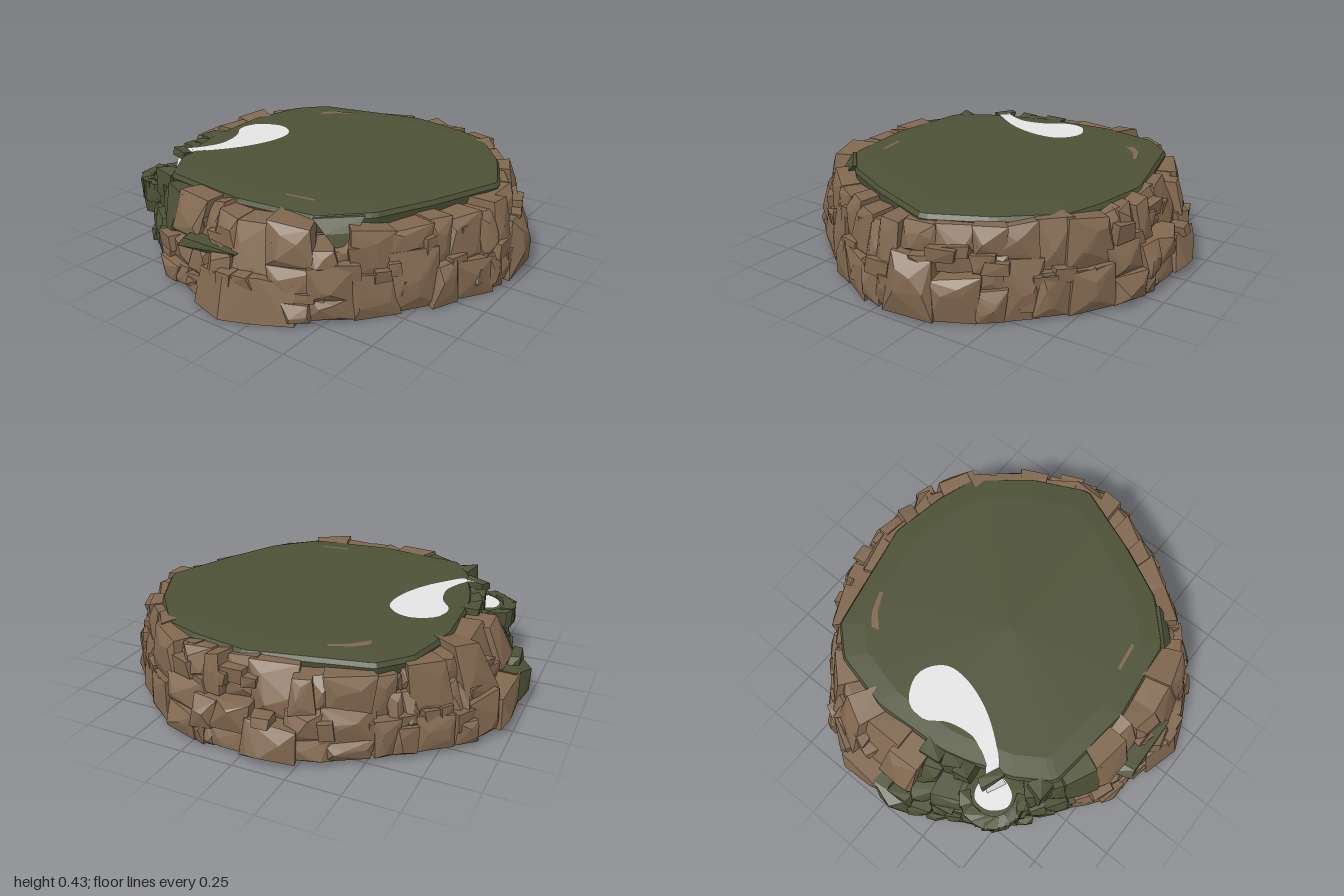
import * as THREE from 'three';
import { mergeGeometries } from 'three/addons/utils/BufferGeometryUtils.js';
import { ConvexGeometry } from 'three/addons/geometries/ConvexGeometry.js';

// outlines as [x, z] corners
const GRASS = [[0.05, -0.78], [0.33, -0.73], [0.51, -0.67], [0.71, -0.43], [0.84, -0.16], [0.7, 0.19], [0.57, 0.45],
  [0.38, 0.63], [-0.02, 0.68], [-0.46, 0.63], [-0.57, 0.46], [-0.59, 0.38], [-0.64, 0.25], [-0.67, 0.13], [-0.69, -0.24],
  [-0.62, -0.53], [-0.5, -0.66]];
const BASE = [[-0.13, -0.98], [0.09, -0.95], [0.35, -0.93], [0.62, -0.73], [0.81, -0.54], [0.95, -0.32], [1, -0.19],
  [0.99, 0.05], [0.84, 0.35], [0.63, 0.64], [0.42, 0.84], [0.12, 0.96], [-0.06, 0.91], [-0.32, 0.87], [-0.56, 0.68],
  [-0.8, 0.45], [-1, 0.05], [-0.97, -0.13], [-0.99, -0.29], [-0.86, -0.5], [-0.57, -0.73], [-0.35, -0.89]];
const POND = [[-0.48, -0.19], [-0.59, -0.13], [-0.61, -0.03], [-0.55, 0.07], [-0.53, 0.2], [-0.56, 0.28], [-0.59, 0.34],
  [-0.56, 0.38], [-0.5, 0.32], [-0.4, 0.18], [-0.34, 0.02], [-0.34, -0.1], [-0.4, -0.17]];
const TAU = Math.PI * 2;

let seed = 7;
function rand(a = 0, b = 1) {
  seed = (seed * 16807) % 2147483647;
  return a + (b - a) * seed / 2147483647;
}
const lerp = THREE.MathUtils.lerp;
const between = (v, a, b) => v > a && v < b;

// distance to a straight-sided outline in a given direction
function radial(outline) {
  const p = outline.map(([x, z]) => [(Math.atan2(z, x) + TAU) % TAU, Math.hypot(x, z)]).sort((m, n) => m[0] - n[0]);
  const last = p[p.length - 1];
  p.unshift([last[0] - TAU, last[1]]);
  p.push([p[1][0] + TAU, p[1][1]]);
  return (angle) => {
    const a = ((angle % TAU) + TAU) % TAU;
    const i = p.findIndex((q) => q[0] > a);
    const [a0, r0] = p[i - 1], [a1, r1] = p[i];
    return Math.sin(a1 - a0) / (Math.sin(a1 - a) / r0 + Math.sin(a - a0) / r1);
  };
}
const grassR = radial(GRASS), baseR = radial(BASE);

// cliff radius: steep below, leaning in to the crest
function wallR(a, y) {
  const out = baseR(a), right = Math.cos(a) > 0.3;
  if (y < 0.2) return out * (1 - 0.12 * y);
  const crest = lerp(grassR(a), out, right ? 0.5 : 0.38);
  return lerp(out * (right ? 0.97 : 0.95), crest, Math.min(1, (y - 0.2) / 0.2));
}
const at = (a, r, y) => new THREE.Vector3(Math.cos(a) * r, y, Math.sin(a) * r);

// angular boulder filling one cell of the cliff
function block(a0, a1, y0, y1) {
  const off = y0 < 0.05 ? rand(-0.025, 0.012) : rand(-0.045, 0.012);
  const ym = (y0 + y1) / 2, am = (a0 + a1) / 2, pts = [];
  const floor = Math.cos(am) > 0 ? 0 : 0.022;
  for (const a of [a0 - 0.012, a1 + 0.012]) {
    for (const y of [y0, y1]) {
      const yy = Math.max(floor, y + rand(-0.016, 0.016));
      const r = wallR(a, lerp(y, ym, 0.4)) + off - rand(0, 0.025);
      pts.push(at(a + rand(-0.025, 0.025), r, yy));
      pts.push(at(a, Math.min(grassR(a) * 0.94, r - 0.06), Math.max(0.024, yy)));
    }
  }
  for (let i = 0; i < 4; i++) {
    const a = am + rand(-0.4, 0.4) * (a1 - a0), y = lerp(y0, y1, rand(0.15, 0.85));
    pts.push(at(a, wallR(a, lerp(y, ym, 0.4)) + off + rand(0, 0.012), y));
  }
  return new ConvexGeometry(pts);
}

// small loose stone
function stone(c, sx, sy, sz, turn = 0) {
  const pts = [];
  for (const x of [-1, 1]) for (const y of [-1, 1]) for (const z of [-1, 1]) {
    pts.push(new THREE.Vector3(x * sx * rand(0.6, 1), y * sy * rand(0.65, 1), z * sz * rand(0.6, 1))
      .applyAxisAngle(new THREE.Vector3(0, 1, 0), turn).add(c));
  }
  return new ConvexGeometry(pts);
}

// stacked rings [radius function, y], closed at both ends
function loft(rings, n = 144) {
  const pos = [], idx = [];
  for (const [f, y] of rings) for (let i = 0; i < n; i++) pos.push(...at(i / n * TAU, f(i / n * TAU), y).toArray());
  for (let k = 0; k < rings.length - 1; k++) for (let i = 0; i < n; i++) {
    const p = k * n + i, q = k * n + (i + 1) % n;
    idx.push(p, p + n, q, q, p + n, q + n);
  }
  const bottom = pos.length / 3, top = bottom + 1, last = (rings.length - 1) * n;
  pos.push(0, rings[0][1], 0, 0, rings[rings.length - 1][1], 0);
  for (let i = 0; i < n; i++) {
    const j = (i + 1) % n;
    idx.push(bottom, i, j, top, last + j, last + i);
  }
  const g = new THREE.BufferGeometry();
  g.setAttribute('position', new THREE.Float32BufferAttribute(pos, 3));
  g.setIndex(idx);
  const flat = g.toNonIndexed();
  flat.computeVertexNormals();
  return flat;
}

// level plate from [x, z] points
function plate(points, y, smooth) {
  let v = points.map(([x, z]) => new THREE.Vector2(x, -z));
  if (smooth) {
    const curve = new THREE.CatmullRomCurve3(v.map((p) => new THREE.Vector3(p.x, p.y, 0)), true);
    v = curve.getPoints(60).slice(0, -1).map((p) => new THREE.Vector2(p.x, p.y));
  }
  return new THREE.ShapeGeometry(new THREE.Shape(v)).rotateX(-Math.PI / 2).translate(0, y, 0);
}

export function createModel() {
  const group = new THREE.Group();
  const material = (name, color) => {
    const m = new THREE.MeshStandardMaterial({ color, side: THREE.DoubleSide });
    m.name = name;
    return m;
  };
  const rockBrown = material('rockBrown', 0x80674f), grassGreen = material('grassGreen', 0x4d5136);
  const waterWhite = material('waterWhite', 0xe4e4e4);
  const add = (name, geometry, mat) => {
    const m = new THREE.Mesh(geometry, mat);
    m.name = name;
    group.add(m);
  };

  // solid core and the grassy plateau
  const scaled = (f, s) => (a) => f(a) * s;
  add('core', loft([[scaled(baseR, 0.95), 0.02], [scaled(baseR, 0.88), 0.04], [scaled(baseR, 0.84), 0.2],
    [scaled(grassR, 0.92), 0.26], [scaled(grassR, 0.92), 0.4]]), rockBrown);
  add('grassPlateau', loft([[scaled(grassR, 0.985), 0.34], [grassR, 0.4], [scaled(grassR, 0.985), 0.42],
    [scaled(grassR, 0.85), 0.43]]), grassGreen);

  // cliff of boulders, mossy beside the pool
  const rocks = [], moss = [];
  const splits = [[0.02, 0.2, 0.41], [0.02, 0.14, 0.28, 0.4], [0.015, 0.27, 0.4], [0.02, 0.11, 0.24, 0.41], [0.02, 0.18, 0.4]];
  const low = [[0.02, 0.13, 0.25], [0.02, 0.19, 0.25], [0.02, 0.09, 0.17, 0.25]];
  const mid = [[0.02, 0.12, 0.22, 0.35], [0.02, 0.2, 0.38], [0.02, 0.14, 0.24, 0.38]];
  const isMossy = (a, y) => between(a, 2.12, y > 0.2 ? 2.98 : 3.32) || (between(a, 1.95, 2.2) && y > 0.1);
  let a = 0;
  while (a < TAU - 0.03) {
    const next = Math.min(TAU, a + rand(0.1, 0.23)), c = (a + next) / 2;
    const set = between(c, 2.28, 2.84) ? low : between(c, 2.12, 3.2) ? mid : splits;
    const ys = set[Math.floor(rand(0, set.length))].slice();
    // dips where the turf hangs over the edge
    if (between(c, 0.8, 1.02)) ys[ys.length - 1] = 0.31;
    else if (c < 0.8 || between(c, 3.8, 4.5)) ys[ys.length - 1] -= 0.035;
    for (let i = 0; i < ys.length - 1; i++) {
      const parts = ys[i + 1] - ys[i] < 0.16 && rand() > 0.6 ? 2 : 1;
      for (let k = 0; k < parts; k++) {
        const cell = block(lerp(a, next, k / parts), lerp(a, next, (k + 1) / parts), ys[i] - 0.008, ys[i + 1]);
        (isMossy(c, (ys[i] + ys[i + 1]) / 2) ? moss : rocks).push(cell);
      }
    }
    a = next;
  }
  // chips wedged between the boulders
  for (let i = 0; i < 64; i++) {
    const t = i / 64 * TAU + rand(-0.03, 0.03);
    const y = rand(0.07, between(t, 2.12, 3.32) ? 0.2 : 0.35);
    const chip = stone(at(t, wallR(t, y) - 0.045, y), rand(0.03, 0.05), rand(0.025, 0.05), rand(0.035, 0.08), -t);
    (isMossy(t, y) ? moss : rocks).push(chip);
  }
  // broad footing slab at the front
  const footing = [[-0.06, 0.92], [0.12, 0.97], [0.27, 0.91], [0.42, 0.83], [0.36, 0.6], [-0.05, 0.7]];
  rocks.push(new ConvexGeometry(footing.flatMap(([x, z], i) => [
    new THREE.Vector3(x, i < 4 ? 0.004 : 0.024, z), new THREE.Vector3(x * 0.92 + 0.01, 0.17 + 0.015 * (i % 3), z * 0.955)])));

  // mossy rim round the pool and banks of the stream
  const pool = [-0.66, 0.425];
  for (let i = 0; i < 9; i++) {
    const t = 1.2 + i * 0.34;
    moss.push(stone(new THREE.Vector3(pool[0] + Math.cos(t) * 0.13, 0.255, pool[1] + Math.sin(t) * 0.13), 0.035, 0.055, 0.045, -t));
  }
  for (const [x, z] of [[-0.66, 0.19], [-0.66, 0.26], [-0.68, 0.1], [-0.51, 0.58]]) {
    moss.push(stone(new THREE.Vector3(x, 0.345, z), 0.06, 0.085, 0.055, rand(0, 3)));
  }
  moss.push(stone(new THREE.Vector3(pool[0], 0.2, pool[1]), 0.14, 0.1, 0.14));
  // mossy lip bridging the head of the waterfall
  moss.push(stone(new THREE.Vector3(-0.62, 0.412, 0.385), 0.07, 0.024, 0.03, -0.3));
  // green ledge on the front and turf hanging over the edge
  moss.push(stone(new THREE.Vector3(-0.04, 0.25, 0.808), 0.19, 0.025, 0.075, 0.1));
  const turf = [];
  for (const [t, out, y] of [[0.74, 0.01, 0.415], [1.04, 0.01, 0.415], [0.8, 0.05, 0.36], [0.97, 0.05, 0.36], [0.9, 0.07, 0.29]]) {
    turf.push(at(t, grassR(t) + out, y), at(t, grassR(t) - 0.06, y));
  }
  moss.push(new ConvexGeometry(turf));
  add('cliffRocks', mergeGeometries(rocks), rockBrown);
  add('mossyRocks', mergeGeometries(moss), grassGreen);

  // pond, waterfall and lower pool
  add('pond', plate(POND, 0.433, true), waterWhite);
  const fall = [];
  for (const [x, y, z, w] of [[-0.56, 0.434, 0.34, 0.03], [-0.62, 0.424, 0.395, 0.04], [-0.632, 0.29, 0.425, 0.05]]) {
    fall.push(x - 0.9 * w, y, z - 0.42 * w, x + 0.9 * w, y, z + 0.42 * w);
  }
  const fallGeometry = new THREE.BufferGeometry();
  fallGeometry.setAttribute('position', new THREE.Float32BufferAttribute(fall, 3));
  fallGeometry.setIndex([0, 2, 1, 1, 2, 3, 2, 4, 3, 3, 4, 5]);
  fallGeometry.computeVertexNormals();
  add('waterfall', fallGeometry, waterWhite);
  add('pool', plate([[-0.73, 0.37], [-0.66, 0.34], [-0.58, 0.37], [-0.575, 0.43], [-0.61, 0.5], [-0.67, 0.515], [-0.735, 0.45]], 0.304, true), waterWhite);

  // bare earth streaks on the grass
  add('earthStreakBack', plate([[-0.41, -0.48], [-0.42, -0.52], [-0.36, -0.57], [-0.26, -0.61], [-0.25, -0.595], [-0.34, -0.55]], 0.432), rockBrown);
  add('earthStreakFront', plate([[0.15, 0.54], [0.15, 0.525], [0.29, 0.505], [0.29, 0.52]], 0.432), rockBrown);

  // green wedge under the base
  add('undersideWedge', plate([[0, 0], [-0.72, -0.45], [-0.62, -0.11], [-0.61, 0.06], [-0.72, 0.45], [-0.534, 0.61]], 0.016), grassGreen);
  return group;
}
